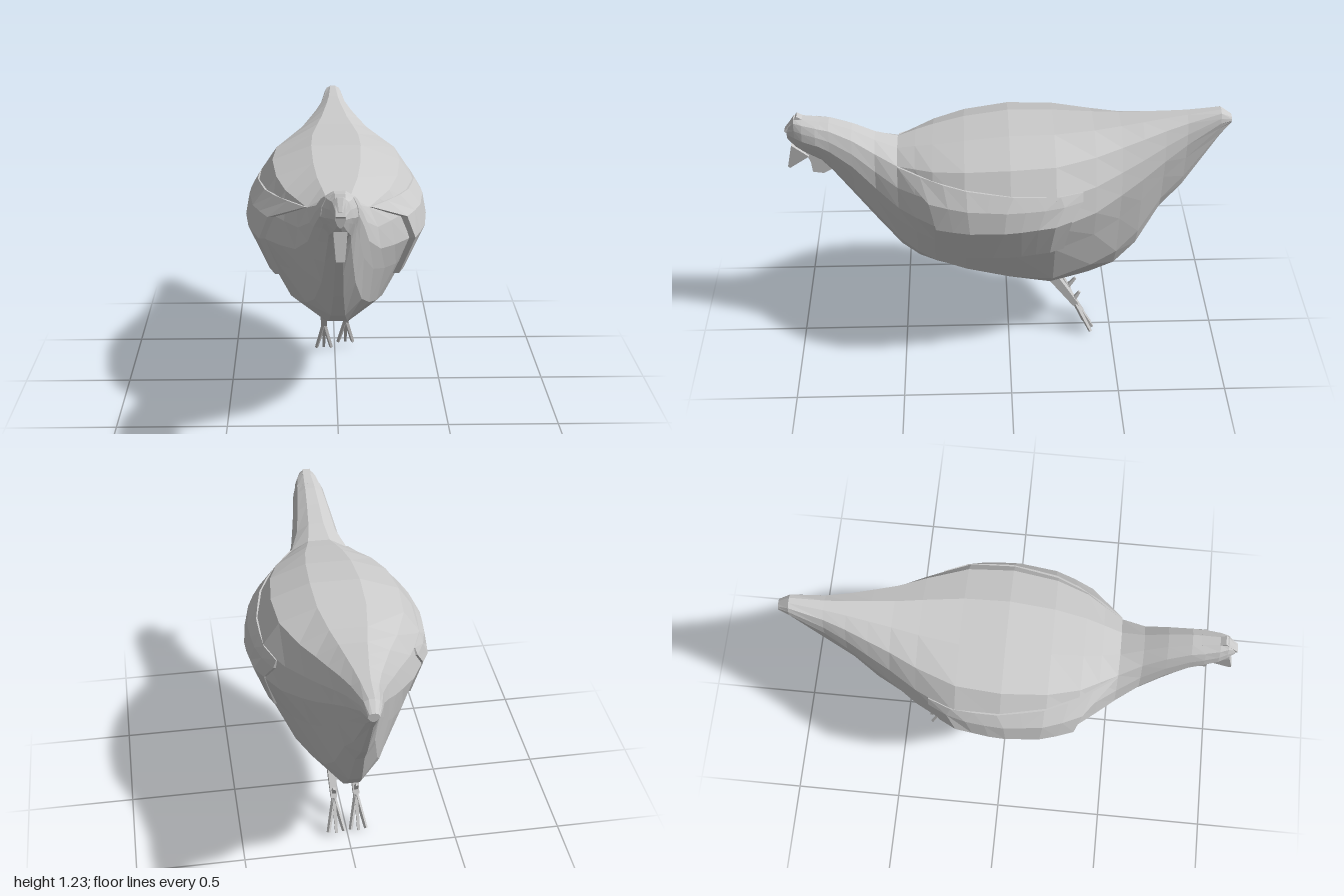
import * as THREE from 'three';

const material = new THREE.MeshStandardMaterial({ color: 0xcccccc, flatShading: true, side: THREE.DoubleSide });

// Body stations from tail to head: z, top, bottom, half width, height of widest point
const STATIONS = [
  [-1.0, 1.2, 1.16, 0.025, 1.18], [-0.95, 1.235, 1.09, 0.045, 1.18], [-0.8, 1.215, 0.84, 0.08, 1.09],
  [-0.7, 1.205, 0.72, 0.12, 1.03], [-0.6, 1.195, 0.52, 0.17, 0.97], [-0.5, 1.185, 0.41, 0.22, 0.92],
  [-0.38, 1.178, 0.365, 0.295, 0.88], [-0.2, 1.175, 0.32, 0.385, 0.86], [0, 1.175, 0.36, 0.405, 0.84],
  [0.2, 1.15, 0.41, 0.375, 0.84], [0.34, 1.122, 0.45, 0.315, 0.84], [0.42, 1.105, 0.48, 0.25, 0.84],
  [0.5, 1.085, 0.54, 0.185, 0.85], [0.6, 1.12, 0.67, 0.13, 0.92], [0.7, 1.17, 0.81, 0.105, 1.02],
  [0.8, 1.205, 0.95, 0.085, 1.09], [0.86, 1.212, 1.02, 0.078, 1.12],
];
// Half section from back to belly: share of half width, share of height from the widest point
const SECTION = [[0.28, 1], [0.72, 0.8], [0.93, 0.42], [1, 0], [0.83, -0.3], [0.56, -0.75], [0.17, -1]];

function makeGeometry(positions, indices) {
  const g = new THREE.BufferGeometry();
  g.setAttribute('position', new THREE.Float32BufferAttribute(positions, 3));
  g.setIndex(indices);
  const flat = g.toNonIndexed();
  flat.computeVertexNormals();
  return flat;
}

function addMesh(parent, name, geometry) {
  const mesh = new THREE.Mesh(geometry, material);
  mesh.name = name;
  parent.add(mesh);
  return mesh;
}

// Skin over rings with equal point counts, closed at both ends
function loft(rings) {
  const n = rings[0].length;
  const idx = [];
  for (let i = 0; i < rings.length - 1; i++) {
    for (let j = 0; j < n; j++) {
      const a = i * n + j, b = i * n + (j + 1) % n;
      idx.push(a, a + n, b, b, a + n, b + n);
    }
  }
  const end = (rings.length - 1) * n;
  for (let j = 1; j < n - 1; j++) idx.push(0, j, j + 1, end, end + j + 1, end + j);
  return makeGeometry(rings.flat(2), idx);
}

function bodyRing([z, top, bottom, w, mid]) {
  const half = SECTION.map(([sx, sy]) => [w * sx, mid + sy * (sy > 0 ? top - mid : mid - bottom), z]);
  return [...half, ...half.slice().reverse().map(([x, y, zz]) => [-x, y, zz])];
}

// Half width of the body at a given height and depth
function bodySide(y, z) {
  let i = 0;
  while (i < STATIONS.length - 2 && STATIONS[i + 1][0] < z) i++;
  const a = STATIONS[i], b = STATIONS[i + 1];
  const t = (z - a[0]) / (b[0] - a[0]);
  const half = bodyRing(a.map((v, k) => v + (b[k] - v) * t)).slice(0, SECTION.length);
  for (let k = 0; k < half.length - 1; k++) {
    const [x0, y0] = half[k], [x1, y1] = half[k + 1];
    if (y <= y0 && y >= y1) return x0 + (x1 - x0) * (y0 - y) / (y0 - y1);
  }
  return half[0][0];
}

// Folded wing: a raised panel following the body, with its rim sunk into it
function wingGeometry(side) {
  // Rows: front z, front y, rear z, rear y
  const rows = [[0.5, 1.04, -0.32, 1.0], [0.36, 0.95, -0.32, 0.96], [0.33, 0.84, -0.27, 0.88], [0.27, 0.65, -0.24, 0.7]];
  const steps = 8, nv = rows.length + 2, nu = steps + 3;
  const pos = [], idx = [];
  const clamp = THREE.MathUtils.clamp;
  for (let v = 0; v < nv; v++) {
    const [zf, yf, zr, yr] = rows[clamp(v - 1, 0, rows.length - 1)];
    for (let u = 0; u < nu; u++) {
      const t = clamp((u - 1) / steps, 0, 1);
      const z = zf + (zr - zf) * t, y = yf + (yr - yf) * t;
      const rim = v === 0 || v === nv - 1 || u === 0 || u === nu - 1;
      const lift = rim ? -0.03 : (v === 1 ? 0.012 : 0.028) * (1 - 0.6 * t);
      pos.push(side * (bodySide(y, z) + lift), y, z);
      if (v < nv - 1 && u < nu - 1) {
        const a = v * nu + u, b = a + 1, c = a + nu, d = c + 1;
        if (side > 0) idx.push(a, c, b, b, c, d);
        else idx.push(a, b, c, b, d, c);
      }
    }
  }
  return makeGeometry(pos, idx);
}

// Tapered rod between two points
function addRod(parent, name, from, to, r0, r1, sides = 4) {
  const a = new THREE.Vector3(...from), b = new THREE.Vector3(...to);
  const dir = b.clone().sub(a);
  const rod = addMesh(parent, name, new THREE.CylinderGeometry(r1, r0, dir.length(), sides).rotateY(Math.PI / 4));
  rod.position.copy(a).add(b).multiplyScalar(0.5);
  rod.quaternion.setFromUnitVectors(new THREE.Vector3(0, 1, 0), dir.normalize());
}

// Side outline given as [z, y], extruded to a thin slab across x
function slab(points, width) {
  const shape = new THREE.Shape(points.map(([z, y]) => new THREE.Vector2(-z, y)));
  return new THREE.ExtrudeGeometry(shape, { depth: width, bevelEnabled: false })
    .translate(0, 0, -width / 2).rotateY(Math.PI / 2);
}

export function createModel() {
  const bird = new THREE.Group();
  bird.name = 'bird';

  // Body, neck and tail in one skin
  addMesh(bird, 'body', loft(STATIONS.map(bodyRing)));

  // Head, narrowing to the brow
  addMesh(bird, 'head', loft([
    [0.84, 1.21, 1.0, 0.08, 1.11], [0.92, 1.222, 1.045, 0.062, 1.13],
    [0.955, 1.225, 1.07, 0.045, 1.14], [0.99, 1.175, 1.11, 0.022, 1.145],
  ].map(bodyRing)));
  addMesh(bird, 'crest', slab([[0.88, 1.2], [0.94, 1.235], [1.0, 1.16], [0.96, 1.12]], 0.04));

  // Beak hooked downwards, wattle under the chin
  addMesh(bird, 'beak', loft([
    [[0.028, 1.09, 0.975], [0.028, 1.03, 0.9], [-0.028, 1.03, 0.9], [-0.028, 1.09, 0.975]],
    [[0.018, 0.972, 1.0], [0.018, 0.965, 0.99], [-0.018, 0.965, 0.99], [-0.018, 0.972, 1.0]],
  ]));
  addMesh(bird, 'wattle', slab([[0.92, 1.06], [0.895, 0.99], [0.89, 0.94], [0.84, 0.932], [0.79, 0.96], [0.8, 1.05]], 0.03));

  for (const side of [1, -1]) {
    const label = side > 0 ? 'left' : 'right';
    addMesh(bird, label + 'Wing', wingGeometry(side));

    // Leg trailing backwards, three toes and a spur
    const leg = new THREE.Group();
    leg.name = label + 'Leg';
    const back = side > 0 ? -0.025 : 0, lift = side > 0 ? 0.02 : 0;
    const x = side * 0.055;
    const ankle = [x, 0.165 + lift / 2, -0.3 + back];
    addRod(leg, 'shank', [x, 0.37, -0.19 + back / 3], ankle, 0.034, 0.02);
    for (const k of [-1, 0, 1]) {
      addRod(leg, 'toe', ankle, [x + k * 0.037, 0.006 + lift, -0.375 + back - (k ? 0 : 0.01)], 0.012, 0.009);
    }
    addRod(leg, 'spur', [x, 0.19 + lift / 2, -0.29 + back], [x, 0.245, -0.33 + back / 2], 0.014, 0.008);
    bird.add(leg);
  }
  return bird;
}
